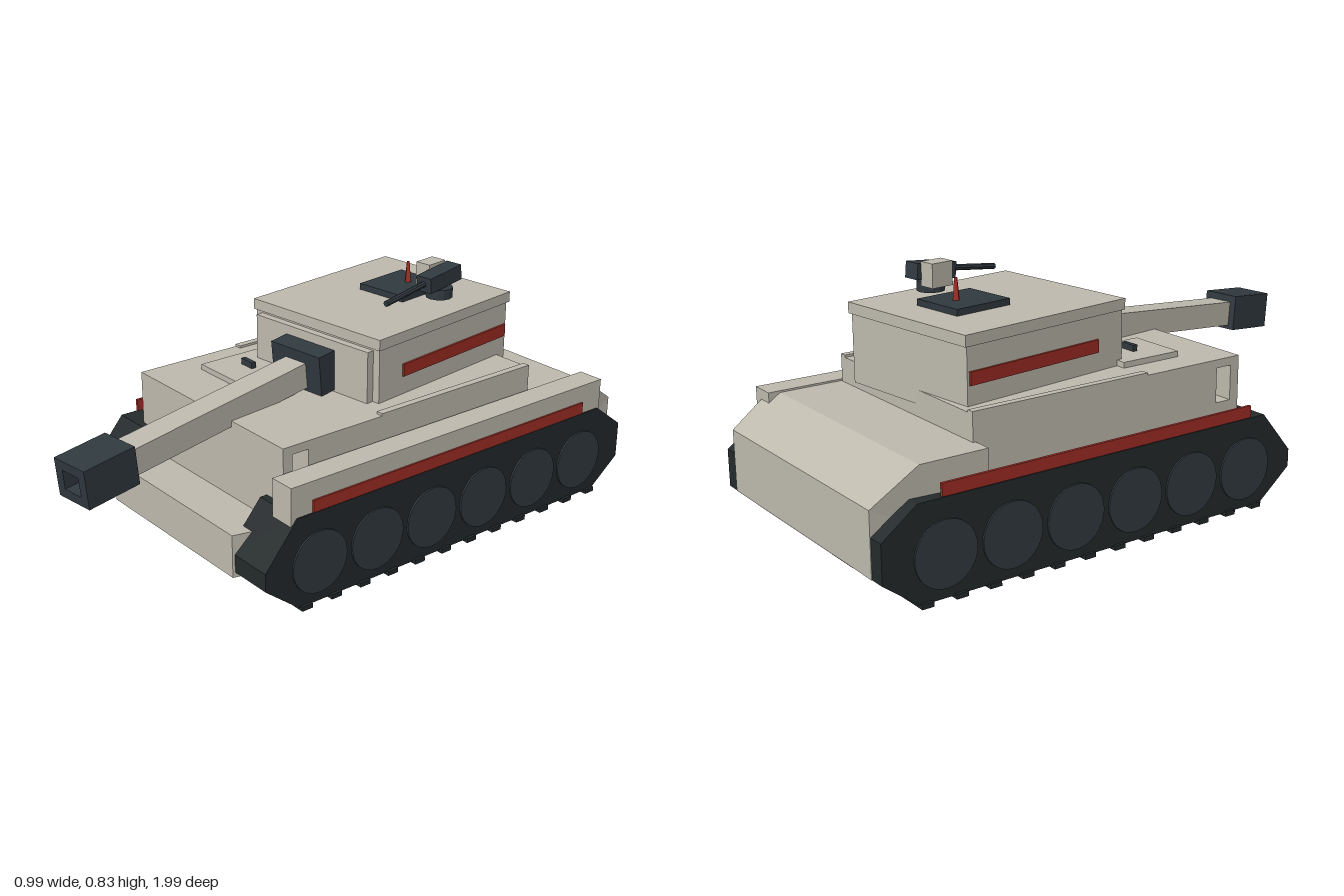
import * as THREE from 'three';

const paint = (color) => new THREE.MeshStandardMaterial({ color, flatShading: true });
const SAND = paint(0xbdb9ad), BLACK = paint(0x24292b), STEEL = paint(0x30393f), RED = paint(0xa02c24);

function add(parent, name, geometry, material, x = 0, y = 0, z = 0) {
  const mesh = new THREE.Mesh(geometry, material);
  mesh.name = name;
  mesh.position.set(x, y, z);
  parent.add(mesh);
  return mesh;
}

// Box given by its limits on each axis
function box(parent, name, material, [x0, x1], [y0, y1], [z0, z1]) {
  const g = new THREE.BoxGeometry(x1 - x0, y1 - y0, z1 - z0);
  return add(parent, name, g, material, (x0 + x1) / 2, (y0 + y1) / 2, (z0 + z1) / 2);
}

const outline = (points) => new THREE.Shape(points.map(([a, b]) => new THREE.Vector2(a, b)));
const rect = (x0, x1, y0, y1) => [[x0, y0], [x1, y0], [x1, y1], [x0, y1]];

// Side profile of (z, y) points, extruded across x and centred
function prism(points, width, hole) {
  const shape = outline(points);
  if (hole) shape.holes.push(outline(hole));
  const g = new THREE.ExtrudeGeometry(shape, { depth: width, bevelEnabled: false });
  return g.translate(0, 0, -width / 2).rotateY(-Math.PI / 2);
}

function buildHull(root) {
  const hull = new THREE.Group();
  hull.name = 'hull';
  root.add(hull);
  box(hull, 'lowerHull', SAND, [-0.305, 0.305], [0.09, 0.235], [-0.99, 0.5]);
  // Upper hull with a slot cut through near the front
  add(hull, 'upperHull', prism(rect(-0.63, 0.405, 0.2, 0.495), 0.77, rect(0.31, 0.37, 0.35, 0.467)), SAND);
  // Nose plate, tapering toward its front
  const nose = outline([[-0.305, 0.41], [0.305, 0.41], [0.305, 0.485], [0.35, 0.485], [0.332, 0.558], [-0.332, 0.558], [-0.35, 0.485], [-0.305, 0.485]]);
  const noseGeo = new THREE.ExtrudeGeometry(nose, { depth: 0.143, bevelEnabled: false });
  add(hull, 'nosePlate', noseGeo.rotateX(Math.PI / 2), SAND, 0, 0.236, 0);
  // Wide engine deck with a sloped tail
  const tail = prism([[-0.62, 0.1], [-0.62, 0.41], [-0.85, 0.41], [-1, 0.305], [-1, 0.1]], 0.9);
  const p = tail.attributes.position;
  for (let i = 0; i < p.count; i++) if (p.getZ(i) < -0.95) p.setX(i, Math.sign(p.getX(i)) * 0.43);
  tail.computeVertexNormals();
  add(hull, 'engineDeck', tail, SAND);
  // Fender on the left side only
  box(hull, 'leftFender', SAND, [0.39, 0.48], [0.28, 0.416], [-0.89, 0.45]);
  for (const s of [-1, 1]) {
    add(hull, 'deckLedge', new THREE.BoxGeometry(0.025, 0.015, 0.65), SAND, s * 0.3725, 0.4955, -0.305);
    add(hull, 'sideStripe', new THREE.BoxGeometry(0.01, 0.04, 1.17), RED, s * 0.481, 0.335, -0.215);
  }
  box(hull, 'driverHatch', SAND, [-0.28, -0.07], [0.49, 0.514], [0.01, 0.235]);
  box(hull, 'periscope', STEEL, [-0.2, -0.142], [0.51, 0.535], [0.113, 0.13]);
  for (const x of [-0.208, -0.133]) box(hull, 'bellyBlock', BLACK, [x - 0.018, x + 0.018], [0.08, 0.095], [0.275, 0.325]);
}

function buildTracks(root) {
  const profile = [[0.425, 0.01], [0.55, 0.11], [0.55, 0.17], [0.43, 0.313], [-0.88, 0.313], [-0.998, 0.225], [-0.998, 0.1], [-0.88, 0.01]];
  for (const s of [-1, 1]) {
    const track = new THREE.Group();
    track.name = s > 0 ? 'leftTrack' : 'rightTrack';
    root.add(track);
    add(track, 'trackBelt', prism(profile, 0.183), BLACK, s * 0.3935);
    for (let i = 0; i < 6; i++) {
      const wheel = new THREE.CylinderGeometry(0.104, 0.104, 0.02, 32).rotateZ(Math.PI / 2);
      add(track, 'roadWheel', wheel, STEEL, s * 0.481, 0.145, 0.347 - i * 0.228);
    }
    // Tread bars along the ground run
    for (let i = 0; i < 12; i++) {
      add(track, 'treadBar', new THREE.BoxGeometry(0.195, 0.016, 0.04), BLACK, s * 0.397, 0.008, 0.4 - i * 0.1145);
    }
  }
}

function buildTurret(root) {
  // Local origin is at the turret centre, +z toward the gun
  const turret = new THREE.Group();
  turret.name = 'turret';
  turret.position.set(-0.007, 0, -0.32);
  turret.rotation.y = 0.12;
  root.add(turret);
  box(turret, 'turretBody', SAND, [-0.276, 0.276], [0.45, 0.69], [-0.318, 0.32]);
  box(turret, 'turretRoof', SAND, [-0.282, 0.282], [0.675, 0.711], [-0.327, 0.327]);
  box(turret, 'frontPanel', SAND, [-0.25, 0.25], [0.49, 0.667], [0.3, 0.346]);
  for (const s of [-1, 1]) add(turret, 'turretStripe', new THREE.BoxGeometry(0.01, 0.042, 0.52), RED, s * 0.278, 0.578, -0.05);

  // Gun, pitched slightly down
  const gun = new THREE.Group();
  gun.name = 'mainGun';
  gun.position.set(0, 0.56, 0.36);
  gun.rotation.x = 0.097;
  turret.add(gun);
  box(gun, 'mantlet', STEEL, [-0.108, 0.108], [-0.06, 0.075], [-0.02, 0.05]);
  box(gun, 'barrel', SAND, [-0.045, 0.045], [-0.048, 0.038], [0.04, 0.8]);
  const muzzle = outline(rect(-0.069, 0.069, -0.062, 0.062));
  muzzle.holes.push(outline(rect(-0.037, 0.037, -0.031, 0.031)));
  add(gun, 'muzzle', new THREE.ExtrudeGeometry(muzzle, { depth: 0.185, bevelEnabled: false }), STEEL, 0, 0, 0.768);
  box(gun, 'muzzleBore', BLACK, [-0.04, 0.04], [-0.034, 0.034], [0.78, 0.9]);

  // Roof fittings
  box(turret, 'commanderHatch', STEEL, [-0.096, 0.096], [0.7, 0.732], [-0.202, 0.01]);
  const antenna = new THREE.CylinderGeometry(0.006, 0.014, 0.072, 4);
  add(turret, 'antenna', antenna, RED, 0.004, 0.766, -0.122);

  const mg = new THREE.Group();
  mg.name = 'roofGun';
  mg.position.set(0.173, 0.79, -0.085);
  turret.add(mg);
  add(mg, 'roofGunMount', new THREE.CylinderGeometry(0.045, 0.045, 0.034, 12), STEEL, 0, -0.045, 0);
  add(mg, 'roofGunPost', new THREE.CylinderGeometry(0.02, 0.02, 0.03, 8), STEEL, 0, -0.02, 0);
  const body = box(mg, 'roofGunBody', STEEL, [-0.03, 0.03], [-0.022, 0.03], [-0.075, 0.08]);
  body.rotation.x = 0.1;
  const rod = add(mg, 'roofGunBarrel', new THREE.CylinderGeometry(0.01, 0.01, 0.2, 8).rotateX(Math.PI / 2), STEEL, 0, -0.012, 0.165);
  rod.rotation.x = 0.12;
  box(mg, 'ammoBox', SAND, [-0.085, -0.028], [-0.035, 0.043], [-0.06, 0.02]);
}

export function createModel() {
  const root = new THREE.Group();
  root.name = 'tank';
  buildHull(root);
  buildTracks(root);
  buildTurret(root);
  return root;
}
